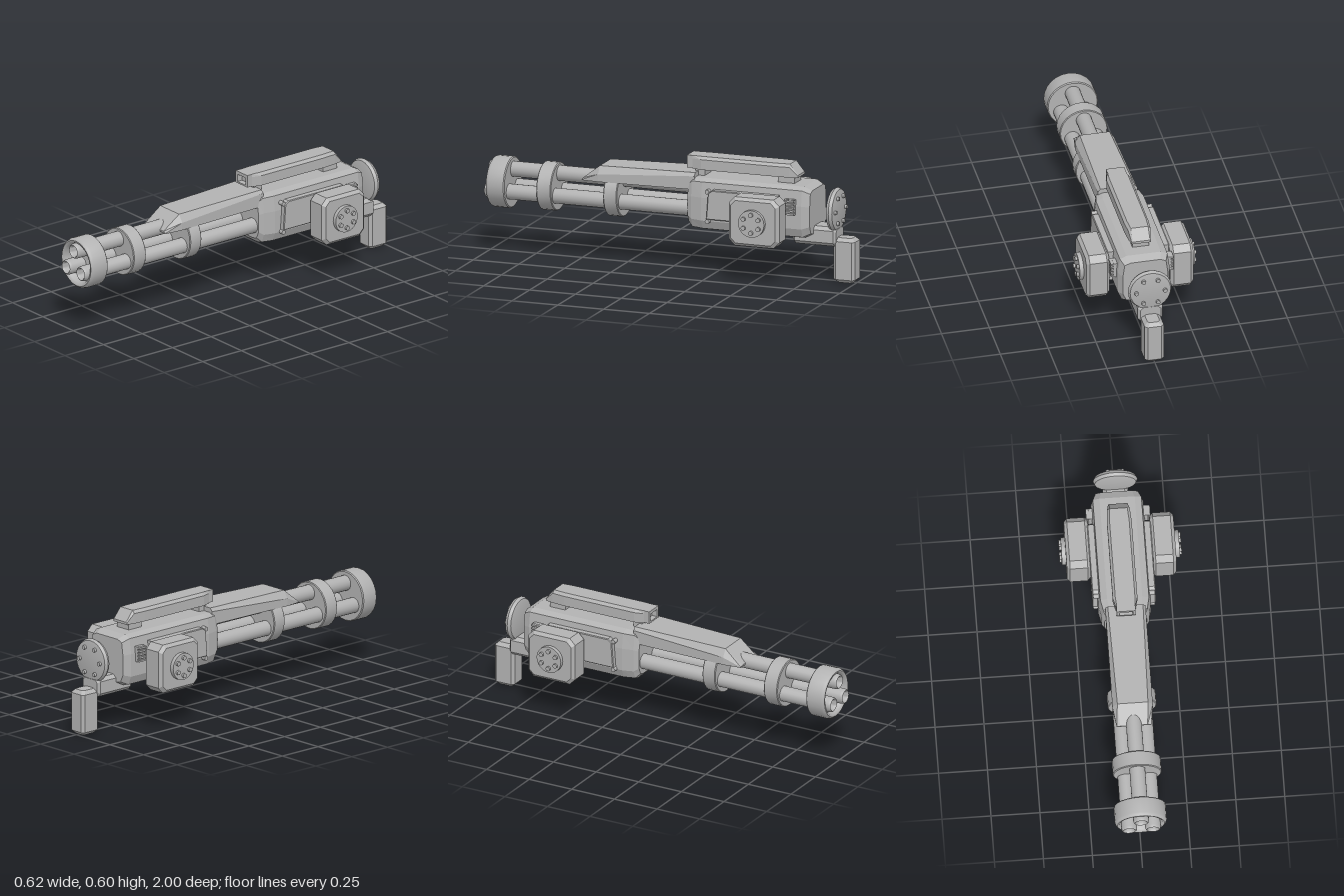
import * as THREE from 'three';
import { toCreasedNormals } from 'three/addons/utils/BufferGeometryUtils.js';

const metal = new THREE.MeshStandardMaterial({ color: 0xb2b2b2 });
metal.name = 'grey metal';

// Skin cross-sections [z, [[x, y], ...]] (counter-clockwise, z rising) with flat faces and end caps
function loft(sections) {
  const pos = [];
  const n = sections[0][1].length;
  const pt = (k, i) => [...sections[k][1][i % n], sections[k][0]];
  const tri = (a, b, c) => pos.push(...a, ...b, ...c);
  for (let k = 0; k < sections.length - 1; k++) {
    for (let i = 0; i < n; i++) {
      tri(pt(k, i), pt(k, i + 1), pt(k + 1, i + 1));
      tri(pt(k, i), pt(k + 1, i + 1), pt(k + 1, i));
    }
  }
  const last = sections.length - 1;
  for (let i = 1; i < n - 1; i++) {
    tri(pt(0, 0), pt(0, i + 1), pt(0, i));
    tri(pt(last, 0), pt(last, i), pt(last, i + 1));
  }
  const geo = new THREE.BufferGeometry();
  geo.setAttribute('position', new THREE.Float32BufferAttribute(pos, 3));
  geo.computeVertexNormals();
  return geo;
}

// Complete the right half of an outline (bottom to top) into a symmetric loop
const mirrored = (half) => [...half, ...half.slice().reverse().map(([x, y]) => [-x, y])];

const octagon = (w, h, c) => mirrored([[w / 2 - c, -h / 2], [w / 2, -h / 2 + c], [w / 2, h / 2 - c], [w / 2 - c, h / 2]]);

// Block with chamfered corners and chamfered ends, running along z
function chamferBlock(w, h, d, corner, end) {
  const small = octagon(w - 2 * end, h - 2 * end, corner * 0.8);
  const full = octagon(w, h, corner);
  return loft([[-d / 2, small], [-d / 2 + end, full], [d / 2 - end, full], [d / 2, small]]);
}

// Turned part along z from [radius, z] points, back to front
function turned(profile, segments = 24) {
  const geo = new THREE.LatheGeometry(profile.map(([r, z]) => new THREE.Vector2(r, z)), segments);
  return toCreasedNormals(geo.rotateX(Math.PI / 2), 0.7);
}

export function createModel() {
  const model = new THREE.Group();
  model.name = 'rotaryGun';
  const add = (name, geo, x = 0, y = 0, z = 0) => {
    const mesh = new THREE.Mesh(geo, metal);
    mesh.name = name;
    mesh.position.set(x, y, z);
    model.add(mesh);
    return mesh;
  };
  const axisY = 0.362;

  // Three hollow barrels
  const barrelGeo = turned([[0.04, -0.2], [0.04, 0.985], [0.037, 0.997], [0.033, 1], [0.029, 0.996], [0.027, 0.985], [0.027, 0.89], [0, 0.89]], 20);
  for (let i = 0; i < 3; i++) {
    const a = Math.PI / 2 + (i * Math.PI * 2) / 3;
    add('barrel', barrelGeo, 0.07 * Math.cos(a), axisY + 0.07 * Math.sin(a));
  }

  // Cupped muzzle and barrel clamps
  add('muzzle', turned([[0, 0.877], [0.128, 0.877], [0.133, 0.882], [0.133, 0.962], [0.129, 0.973], [0.121, 0.98],
    [0.112, 0.978], [0.104, 0.968], [0.098, 0.95], [0.088, 0.925], [0.06, 0.905], [0, 0.895]]), 0, axisY);
  for (const [z0, z1] of [[0.625, 0.705], [0.265, 0.34]]) {
    add('barrelClamp', turned([[0, z0], [0.121, z0], [0.125, z0 + 0.004], [0.125, z1 - 0.004], [0.121, z1], [0, z1]]), 0, axisY);
  }

  // Sloped cover over the barrels
  const cover = (w, wTop, yb, ym, yt) => mirrored([[w, yb], [w, ym], [wTop, yt]]);
  add('barrelCover', loft([
    [-0.15, cover(0.103, 0.09, 0.435, 0.505, 0.522)],
    [0.375, cover(0.103, 0.078, 0.43, 0.47, 0.51)],
    [0.47, cover(0.088, 0.07, 0.428, 0.431, 0.437)],
  ]));

  // Receiver body
  const body = (sx, sy) => mirrored([[0.08, -0.135], [0.115, -0.125], [0.135, -0.08], [0.135, 0.04], [0.124, 0.12], [0.09, 0.135]]
    .map(([x, y]) => [x * sx, 0.365 + y * sy]));
  add('body', loft([[-0.785, body(0.87, 0.85)], [-0.745, body(1, 1)], [-0.2, body(1, 1)], [-0.14, body(0.9, 0.98)], [-0.115, body(0.8, 0.78)]]));

  // Top rail with its feet and front sight window
  const rail = (w, wTop, yt) => mirrored([[w, 0.532], [w, Math.min(0.585, yt - 0.004)], [wTop, yt]]);
  add('topRail', loft([
    [-0.695, rail(0.05, 0.045, 0.545)],
    [-0.65, rail(0.058, 0.045, 0.6)],
    [-0.58, rail(0.063, 0.05, 0.6)],
    [-0.17, rail(0.063, 0.05, 0.6)],
    [-0.12, rail(0.05, 0.046, 0.6)],
  ]));
  const windowShape = new THREE.Shape([[-0.048, 0.535], [0.048, 0.535], [0.048, 0.6], [-0.048, 0.6]].map((p) => new THREE.Vector2(...p)));
  windowShape.holes.push(new THREE.Path([[-0.034, 0.543], [-0.034, 0.583], [0.034, 0.583], [0.034, 0.543]].map((p) => new THREE.Vector2(...p))));
  add('sightFrame', new THREE.ExtrudeGeometry(windowShape, { depth: 0.03, bevelEnabled: false }), 0, 0, -0.12);
  add('railFoot', new THREE.BoxGeometry(0.086, 0.05, 0.05), 0, 0.515, -0.16);
  add('railFoot', new THREE.BoxGeometry(0.086, 0.05, 0.09), 0, 0.515, -0.63);

  // Rear bracket and grip
  add('rearBracket', chamferBlock(0.13, 0.1, 0.235, 0.018, 0.012), 0, 0.24, -0.787);
  add('grip', chamferBlock(0.1, 0.115, 0.235, 0.014, 0.018).rotateX(-Math.PI / 2), 0, 0.1175, -0.9425);

  // Rounded rear disc with a ring of bolts
  add('rearDisc', turned([[0, -0.905], [0.09, -0.905], [0.106, -0.901], [0.114, -0.885], [0.106, -0.869], [0.09, -0.865], [0, -0.865]]), 0, 0.373, 0);
  const rearBolt = new THREE.CylinderGeometry(0.011, 0.011, 0.03, 10).rotateX(Math.PI / 2);
  for (let i = 0; i < 6; i++) {
    const a = (i * Math.PI) / 3;
    add('rearBolt', rearBolt, 0.075 * Math.cos(a), 0.373 + 0.075 * Math.sin(a), -0.902);
  }

  // Side assemblies, one on each flank
  const drumGeo = chamferBlock(0.275, 0.255, 0.122, 0.032, 0.016).rotateY(Math.PI / 2);
  const capGeo = new THREE.CylinderGeometry(0.071, 0.071, 0.03, 24).rotateZ(Math.PI / 2);
  const boltGeo = new THREE.CylinderGeometry(0.012, 0.012, 0.04, 10).rotateZ(Math.PI / 2);
  const plate = new THREE.Shape([[0.24, 0.303], [0.62, 0.303], [0.62, 0.45], [0.27, 0.45], [0.25, 0.435]].map((p) => new THREE.Vector2(...p)));
  const plateGeo = new THREE.ExtrudeGeometry(plate, { depth: 0.03, bevelThickness: 0.004, bevelSize: 0.004, bevelSegments: 1 });
  plateGeo.translate(0, 0, -0.015).rotateY(Math.PI / 2);
  for (const s of [1, -1]) {
    add('sideDrum', drumGeo, s * 0.219, 0.333, -0.538);
    add('drumCap', capGeo, s * 0.286, 0.333, -0.535);
    for (let i = 0; i < 6; i++) {
      const a = Math.PI / 6 + (i * Math.PI) / 3;
      add('capBolt', boltGeo, s * 0.292, 0.333 + 0.047 * Math.sin(a), -0.535 + 0.047 * Math.cos(a));
    }
    add('sidePanel', plateGeo, s * 0.143, 0, 0);
    for (const z of [-0.24, -0.61]) {
      for (const y of [0.442, 0.287]) add('panelBolt', boltGeo, s * 0.138, y, z);
    }
    // Slatted vent
    add('ventBase', new THREE.BoxGeometry(0.03, 0.08, 0.055), s * 0.135, 0.4, -0.688);
    for (let i = 0; i < 5; i++) add('ventSlat', new THREE.BoxGeometry(0.016, 0.009, 0.055), s * 0.156, 0.366 + i * 0.017, -0.688);
  }
  return model;
}
